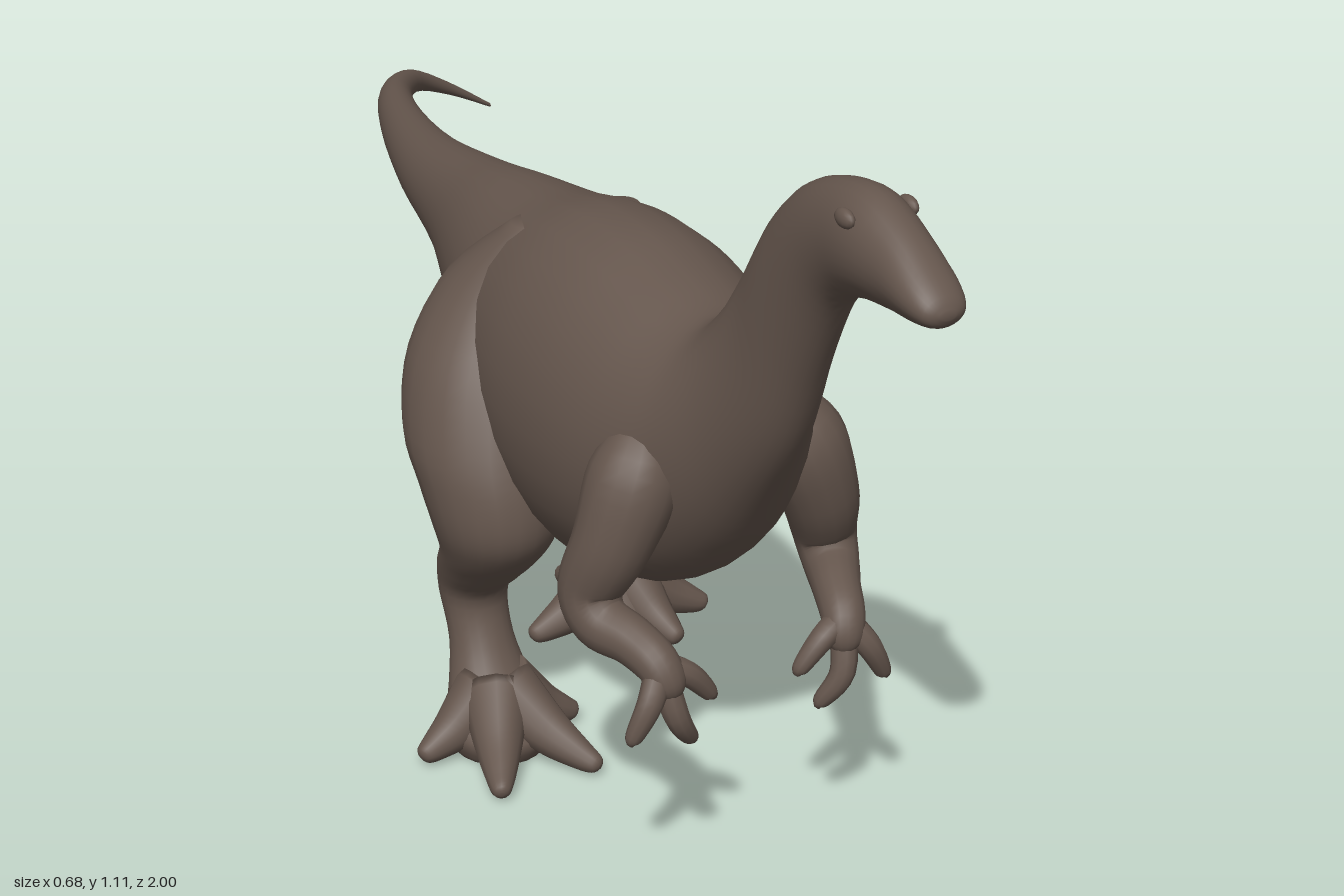
import * as THREE from 'three';

const V = (x, y, z) => new THREE.Vector3(x, y, z);
const MID = -0.045; // x of the body's plane of symmetry

// Smoothly resample rows of numbers, n steps per interval
function resample(rows, n) {
  const out = [];
  const at = i => rows[Math.min(Math.max(i, 0), rows.length - 1)];
  for (let i = 0; i < rows.length - 1; i++) {
    for (let k = 0; k < n; k++) {
      const t = k / n;
      out.push(rows[i].map((b, j) => {
        const a = at(i - 1)[j], c = at(i + 1)[j], d = at(i + 2)[j];
        return b + 0.5 * t * (c - a + t * (2 * a - 5 * b + 4 * c - d + t * (3 * (b - c) + d - a)));
      }));
    }
  }
  out.push(rows[rows.length - 1]);
  return out;
}

// Skin elliptical rings {c, u, v}; u x v points along the run; ends are closed
function loft(rings, sides) {
  const pos = [], idx = [];
  rings.forEach(({ c, u, v }) => {
    for (let s = 0; s < sides; s++) {
      const a = (s / sides) * Math.PI * 2;
      pos.push(...c.clone().addScaledVector(u, Math.cos(a)).addScaledVector(v, Math.sin(a)).toArray());
    }
  });
  const last = rings.length - 1, p0 = rings.length * sides, p1 = p0 + 1;
  pos.push(...rings[0].c.toArray(), ...rings[last].c.toArray());
  for (let s = 0; s < sides; s++) {
    const n = (s + 1) % sides;
    for (let r = 0; r < last; r++) {
      const a = r * sides + s, b = r * sides + n;
      idx.push(a, b, b + sides, a, b + sides, a + sides);
    }
    idx.push(p0, n, s, p1, last * sides + s, last * sides + n);
  }
  const g = new THREE.BufferGeometry();
  g.setAttribute('position', new THREE.Float32BufferAttribute(pos, 3));
  g.setIndex(idx);
  g.computeVertexNormals();
  return g;
}

// Trunk rows: top z, top y, bottom z, bottom y, centre x, half width
function trunk(rows) {
  const r = resample(rows, 4);
  const centre = r.map(([zt, yt, zb, yb, x]) => V(x, (yt + yb) / 2, (zt + zb) / 2));
  return loft(r.map(([zt, yt, zb, yb, , w], i) => {
    const v = V(0, (yt - yb) / 2, (zt - zb) / 2);
    const t = centre[Math.min(i + 1, r.length - 1)].clone().sub(centre[Math.max(i - 1, 0)]);
    return { c: centre[i], u: v.clone().cross(t).normalize().multiplyScalar(w), v };
  }), 28);
}

// Leg rows, from hip to sole: y, centre x, centre z, radius x, radius z
function column(rows) {
  return loft(resample(rows, 4).map(([y, x, z, rx, rz]) => ({ c: V(x, y, z), u: V(rx, 0, 0), v: V(0, 0, rz) })), 22);
}

// Tapering round limb; rows: x, y, z, radius
function limb(rows, sides = 12) {
  const r = resample(rows, 5), n = r.length;
  const pts = r.map(p => V(p[0], p[1], p[2]));
  let u = null;
  return loft(pts.map((c, i) => {
    const t = pts[Math.min(i + 1, n - 1)].clone().sub(pts[Math.max(i - 1, 0)]).normalize();
    if (!u) u = Math.abs(t.y) < 0.9 ? V(0, 1, 0) : V(1, 0, 0);
    u = u.clone().addScaledVector(t, -u.dot(t)).normalize();
    const rad = r[i][3];
    return { c, u: u.clone().multiplyScalar(rad), v: t.clone().cross(u).multiplyScalar(rad) };
  }), sides);
}

export function createModel() {
  const model = new THREE.Group();
  const hide = new THREE.MeshStandardMaterial({ color: 0x65564d });
  hide.name = 'brownHide';
  const add = (name, geometry, parent = model) => {
    const m = new THREE.Mesh(geometry, hide);
    m.name = name;
    parent.add(m);
    return m;
  };
  const group = name => {
    const g = new THREE.Group();
    g.name = name;
    model.add(g);
    return g;
  };

  // Tail, torso, neck and head as one continuous skin
  add('body', trunk([
    [-1, 0.537, -1, 0.53, 0.335, 0.004],
    [-0.985, 0.595, -0.985, 0.572, 0.25, 0.01],
    [-0.945, 0.645, -0.945, 0.605, 0.165, 0.018],
    [-0.85, 0.672, -0.85, 0.61, 0.09, 0.027],
    [-0.7, 0.69, -0.7, 0.608, 0.035, 0.037],
    [-0.5, 0.715, -0.5, 0.597, -0.01, 0.055],
    [-0.3, 0.75, -0.3, 0.565, -0.03, 0.08],
    [-0.15, 0.782, -0.15, 0.5, -0.042, 0.115],
    [0, 0.805, 0, 0.4, MID, 0.165],
    [0.13, 0.835, 0.12, 0.345, MID, 0.192],
    [0.25, 0.84, 0.22, 0.325, MID, 0.197],
    [0.36, 0.82, 0.34, 0.345, MID, 0.187],
    [0.45, 0.803, 0.43, 0.39, MID, 0.162],
    [0.5, 0.815, 0.51, 0.47, MID, 0.125],
    [0.54, 0.86, 0.58, 0.57, MID, 0.09],
    [0.575, 0.925, 0.65, 0.68, MID, 0.067],
    [0.62, 1.0, 0.7, 0.8, MID, 0.058],
    [0.68, 1.06, 0.75, 0.9, MID, 0.053],
    [0.75, 1.095, 0.79, 0.945, MID, 0.052],
    [0.83, 1.108, 0.84, 0.965, MID, 0.053],
    [0.9, 1.085, 0.9, 0.974, MID, 0.046],
    [0.96, 1.05, 0.96, 0.98, MID, 0.041],
    [0.99, 1.027, 0.99, 0.986, MID, 0.03],
    [1.0, 1.01, 1.0, 1.0, MID, 0.01],
  ]));

  // Eye bumps below the brow
  for (const s of [1, -1]) {
    const eye = add(s > 0 ? 'leftEye' : 'rightEye', new THREE.SphereGeometry(0.016, 14, 10));
    eye.scale.set(0.6, 0.8, 1.2);
    eye.position.set(MID + s * 0.045, 1.078, 0.835);
  }

  // Hind legs in mid stride: the left one trails, the right one leads
  const leftLeg = group('leftHindLeg');
  add('leftLeg', column([
    [0.79, 0.02, 0.05, 0.035, 0.03],
    [0.7, 0.045, 0.005, 0.075, 0.085],
    [0.6, 0.09, 0.012, 0.105, 0.118],
    [0.5, 0.115, 0.028, 0.115, 0.128],
    [0.43, 0.12, 0.04, 0.108, 0.112],
    [0.37, 0.125, 0.01, 0.092, 0.105],
    [0.32, 0.13, -0.035, 0.075, 0.083],
    [0.27, 0.13, -0.1, 0.062, 0.077],
    [0.22, 0.125, -0.14, 0.053, 0.051],
    [0.15, 0.125, -0.143, 0.052, 0.049],
    [0.08, 0.125, -0.132, 0.07, 0.065],
    [0.035, 0.125, -0.128, 0.085, 0.08],
    [0, 0.125, -0.13, 0.07, 0.07],
  ]), leftLeg);
  const rightLeg = group('rightHindLeg');
  add('rightLeg', column([
    [0.79, -0.11, 0.05, 0.035, 0.03],
    [0.7, -0.14, 0.01, 0.08, 0.085],
    [0.6, -0.18, 0.03, 0.108, 0.118],
    [0.5, -0.2, 0.065, 0.115, 0.128],
    [0.43, -0.205, 0.1, 0.105, 0.115],
    [0.37, -0.208, 0.115, 0.09, 0.1],
    [0.32, -0.208, 0.1, 0.073, 0.083],
    [0.27, -0.205, 0.055, 0.06, 0.073],
    [0.22, -0.202, 0.025, 0.051, 0.052],
    [0.15, -0.202, 0.05, 0.048, 0.046],
    [0.08, -0.203, 0.085, 0.065, 0.06],
    [0.035, -0.204, 0.11, 0.08, 0.08],
    [0, -0.204, 0.11, 0.068, 0.07],
  ]), rightLeg);

  // Splayed toes; each foot lists its centre and toe tips as x, z
  const feet = [
    [leftLeg, 'left', [0.125, -0.135], [[-0.035, -0.12], [0.165, -0.005], [0.26, -0.09], [0.1, -0.285]]],
    [rightLeg, 'right', [-0.203, 0.095], [[-0.075, 0.11], [-0.12, 0.27], [-0.28, 0.272], [-0.338, 0.125]]],
  ];
  for (const [parent, side, [cx, cz], tips] of feet) {
    tips.forEach(([x, z], i) => {
      const mix = (t, y, r) => [cx + (x - cx) * t, y, cz + (z - cz) * t, r];
      add(`${side}Toe${i + 1}`, limb([
        mix(0.1, 0.085, 0.052), mix(0.5, 0.045, 0.036), mix(0.8, 0.026, 0.023),
        mix(0.96, 0.019, 0.014), mix(1, 0.017, 0.004),
      ]), parent);
    });
  }

  // Forearms, mirrored, each with a bent wrist and three fingers
  for (const s of [1, -1]) {
    const side = s > 0 ? 'left' : 'right';
    const arm = group(`${side}Forelimb`);
    const mirror = rows => rows.map(([x, y, z, r]) => [s > 0 ? x : 2 * MID - x, y, z, r]);
    add(`${side}Arm`, limb(mirror([
      [0.05, 0.66, 0.44, 0.03], [0.08, 0.59, 0.462, 0.064], [0.115, 0.5, 0.465, 0.056],
      [0.138, 0.425, 0.445, 0.046], [0.136, 0.385, 0.47, 0.04], [0.115, 0.373, 0.52, 0.034],
      [0.1, 0.355, 0.562, 0.031], [0.092, 0.325, 0.578, 0.026], [0.09, 0.308, 0.58, 0.008],
    ]), 16), arm);
    const fingers = [
      [[0.06, 0.335, 0.575], [0.026, 0.297, 0.575]],
      [[0.085, 0.285, 0.59], [0.058, 0.24, 0.58]],
      [[0.125, 0.315, 0.59], [0.15, 0.268, 0.59]],
    ];
    fingers.forEach(([knuckle, tip], i) => add(`${side}Finger${i + 1}`, limb(mirror([
      [0.097, 0.352, 0.565, 0.02], [...knuckle, 0.018], [...tip, 0.012],
      [tip[0], tip[1] - 0.008, tip[2], 0.003],
    ]), 10), arm));
  }

  return model;
}
